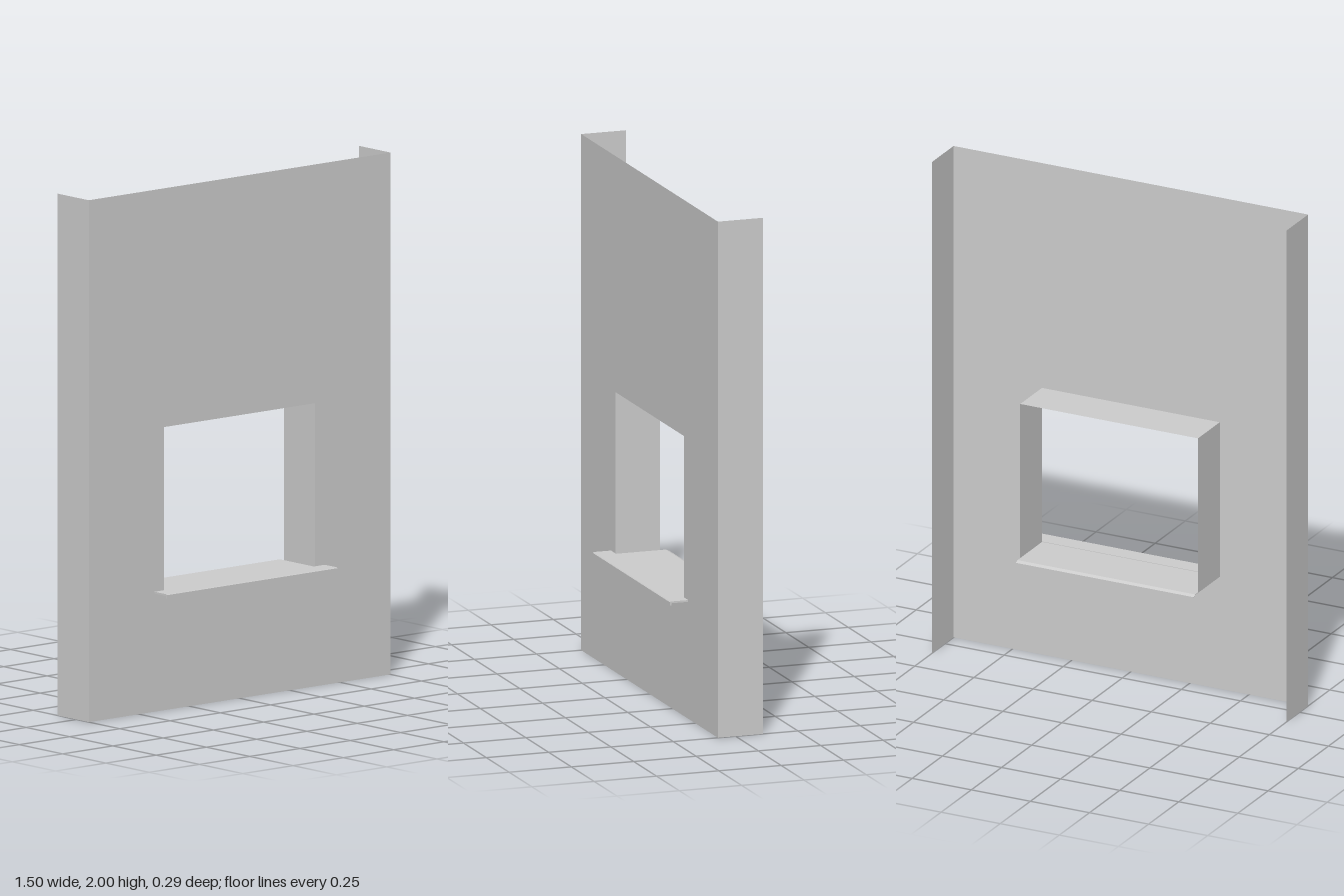
import * as THREE from 'three';

const FRONT = 0.071, BACK = -0.109;      // panel face and rear edge of the returns
const W = 0.75, H = 2;                   // half width and height of the panel
const OW = 0.376, OB = 0.458, OT = 1.085; // opening half width, bottom, top

export function createModel() {
  const group = new THREE.Group();
  const sheetMat = new THREE.MeshStandardMaterial({ color: 0xcccccc, side: THREE.DoubleSide, flatShading: true });

  const add = (name, geometry) => {
    const mesh = new THREE.Mesh(geometry, sheetMat);
    mesh.name = name;
    group.add(mesh);
    return mesh;
  };

  // Face sheet with the window opening
  const face = new THREE.Shape([
    new THREE.Vector2(-W, 0), new THREE.Vector2(W, 0),
    new THREE.Vector2(W, H), new THREE.Vector2(-W, H),
  ]);
  face.holes.push(new THREE.Path([
    new THREE.Vector2(-OW, OB), new THREE.Vector2(-OW, OT),
    new THREE.Vector2(OW, OT), new THREE.Vector2(OW, OB),
  ]));
  add('wallFace', new THREE.ShapeGeometry(face)).position.z = FRONT;

  // Side returns and opening jambs, folded towards the back
  const depth = FRONT - BACK, midZ = (FRONT + BACK) / 2;
  for (const [side, s] of [['left', 1], ['right', -1]]) {
    const wallReturn = add(side + 'Return', new THREE.PlaneGeometry(depth, H).rotateY(s * Math.PI / 2));
    wallReturn.position.set(s * W, H / 2, midZ);
    const jamb = add(side + 'Jamb', new THREE.PlaneGeometry(depth, OT - OB).rotateY(-s * Math.PI / 2));
    jamb.position.set(s * OW, (OT + OB) / 2, midZ);
  }

  // Opening head
  add('openingHead', new THREE.PlaneGeometry(2 * OW, depth).rotateX(-Math.PI / 2)).position.set(0, OT, midZ);

  // Thin bent plate: a (z, y) outline extruded along x
  const plate = (name, outline, halfWidth) => {
    const shape = new THREE.Shape(outline.map(([z, y]) => new THREE.Vector2(-z, y)));
    const geometry = new THREE.ExtrudeGeometry(shape, { depth: 2 * halfWidth, bevelEnabled: false });
    geometry.translate(0, 0, -halfWidth).rotateY(Math.PI / 2);
    add(name, geometry);
  };

  // Sill board through the opening, its rear edge bent slightly down
  plate('sillBoard', [
    [FRONT, 0.456], [-0.132, 0.456], [-0.146, 0.45],
    [-0.146, 0.452], [-0.132, 0.458], [FRONT, 0.458],
  ], OW);

  // Wider sill nose with a drip lip
  plate('sillNose', [
    [FRONT, 0.453], [0.138, 0.453], [0.138, 0.444], [0.144, 0.444],
    [0.144, 0.457], [0.141, 0.46], [FRONT, 0.46],
  ], 0.424);

  return group;
}
